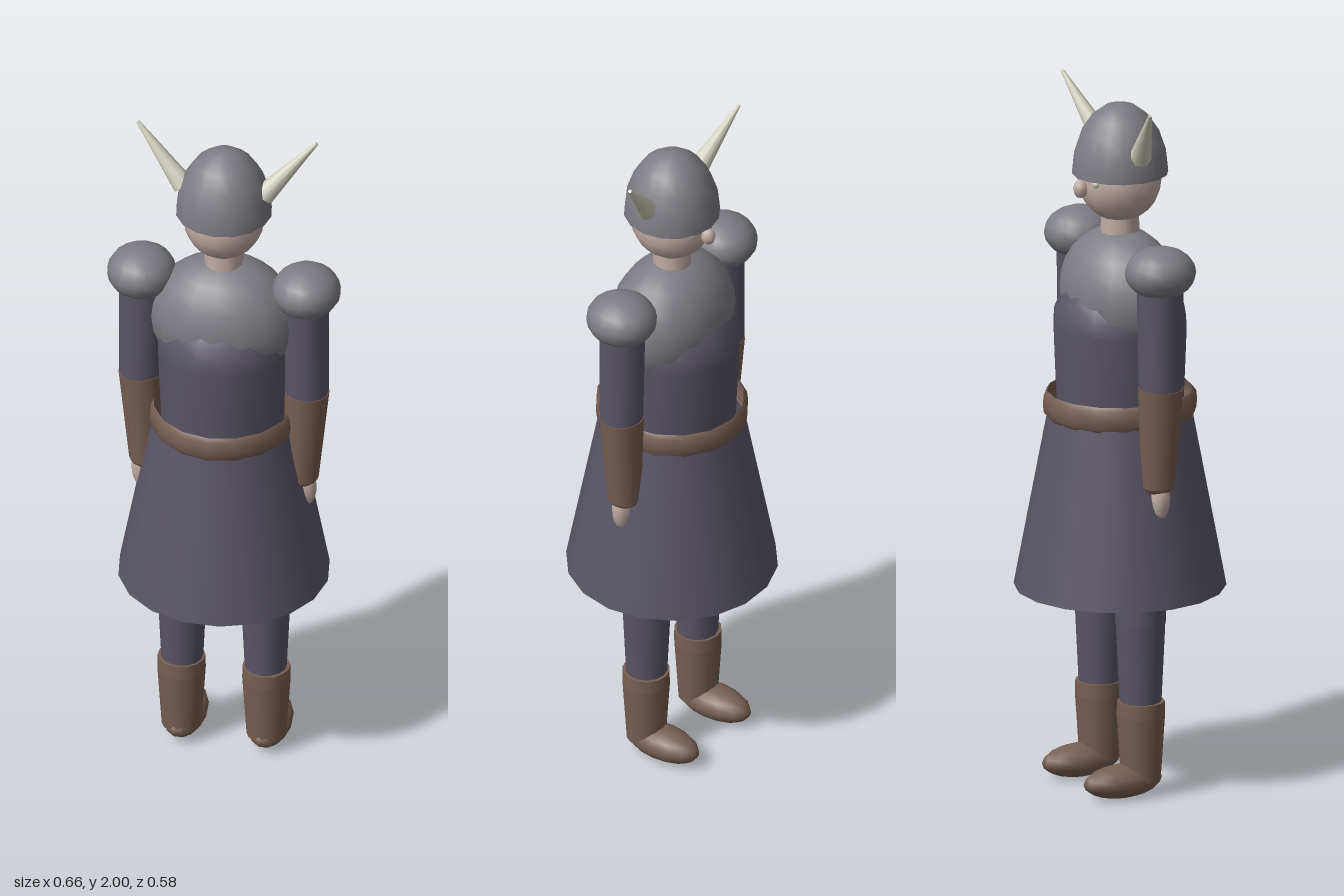
import * as THREE from 'three';

const mat = (name, color, double) => {
  const m = new THREE.MeshStandardMaterial({ color });
  m.name = name;
  if (double) m.side = THREE.DoubleSide;
  return m;
};

export function createModel() {
  const root = new THREE.Group();
  root.name = 'hornedWarrior';

  const cloth = mat('darkCloth', 0x5a5665, true);
  const steel = mat('steel', 0x7d7d84, true);
  const leather = mat('leather', 0x775f53, true);
  const skin = mat('skin', 0xc0aca5);
  const horn = mat('horn', 0xd2cfbd);

  const add = (name, geometry, material) => {
    const m = new THREE.Mesh(geometry, material);
    m.name = name;
    root.add(m);
    return m;
  };

  // Ellipsoid with radii r centred at p
  const blob = (name, material, p, r, w = 16, h = 12) => {
    const g = new THREE.SphereGeometry(1, w, h).scale(...r).translate(...p);
    return add(name, g, material);
  };

  // Tapered round limb from a to b
  const limb = (name, material, a, b, ra, rb, sides = 14) => {
    const va = new THREE.Vector3(...a), vb = new THREE.Vector3(...b);
    const dir = vb.clone().sub(va);
    const m = add(name, new THREE.CylinderGeometry(rb, ra, dir.length(), sides), material);
    m.position.copy(va).add(vb).multiplyScalar(0.5);
    m.quaternion.setFromUnitVectors(new THREE.Vector3(0, 1, 0), dir.normalize());
    return m;
  };

  // Surface of revolution from [radius, y] pairs, a corner on the x axis
  const turned = (name, material, pts, sides) => {
    const g = new THREE.LatheGeometry(pts.map(p => new THREE.Vector2(...p)), sides);
    return add(name, g.rotateY(Math.PI / 2), material);
  };

  // Head, nose and eyes
  blob('head', skin, [0, 1.742, 0], [0.112, 0.114, 0.116]);
  blob('nose', skin, [0, 1.733, -0.124], [0.02, 0.026, 0.022], 8, 6);
  limb('neck', skin, [0, 1.56, 0], [0, 1.66, 0], 0.055, 0.052);

  // Helmet dome
  const dome = new THREE.SphereGeometry(1, 16, 5, 0, Math.PI * 2, 0, Math.PI / 2);
  add('helmet', dome.scale(0.134, 0.2, 0.134).translate(0, 1.765, 0), steel);

  // Torso, breastplate, skirt and belt
  turned('tunic', cloth, [[0.176, 1.07], [0.182, 1.2], [0.187, 1.33], [0.184, 1.37],
    [0.167, 1.41], [0.14, 1.455], [0.08, 1.49], [0, 1.5]], 14);
  blob('breastplate', steel, [0, 1.42, 0], [0.208, 0.188, 0.156], 16, 14);
  turned('skirt', cloth, [[0.294, 0.58], [0.2, 1.08]], 18);
  turned('belt', leather, [[0.203, 1.068], [0.213, 1.08], [0.216, 1.105],
    [0.213, 1.13], [0.204, 1.142]], 16).scale.x = 0.96;

  for (const s of [1, -1]) {
    const side = s > 0 ? 'left' : 'right';

    blob(side + 'Eye', horn, [s * 0.045, 1.755, -0.1], [0.014, 0.012, 0.012], 8, 6);
    limb(side + 'Horn', horn, [s * 0.113, 1.835, 0.002], [s * 0.253, 1.997, -0.043], 0.031, 0.005, 10);

    // Arms
    blob(side + 'Pauldron', steel, [s * 0.233, 1.535, 0], [0.096, 0.073, 0.1], 16, 10);
    limb(side + 'Sleeve', cloth, [s * 0.234, 1.2, 0], [s * 0.23, 1.53, 0], 0.061, 0.065);
    limb(side + 'Glove', leather, [s * 0.22, 0.92, 0], [s * 0.234, 1.205, 0], 0.047, 0.063);
    blob(side + 'GloveCuff', leather, [s * 0.22, 0.92, 0], [0.046, 0.026, 0.046], 14, 8);
    blob(side + 'Hand', skin, [s * 0.229, 0.885, 0], [0.033, 0.064, 0.028], 12, 10);

    // Legs
    limb(side + 'Thigh', cloth, [s * 0.118, 0.5, 0], [s * 0.1, 1.05, 0], 0.07, 0.078);
    limb(side + 'Shin', cloth, [s * 0.118, 0.25, 0], [s * 0.118, 0.505, 0], 0.057, 0.069);
    limb(side + 'Boot', leather, [s * 0.12, 0.05, 0], [s * 0.12, 0.235, 0], 0.055, 0.067);
    limb(side + 'BootTop', leather, [s * 0.12, 0.235, 0], [s * 0.12, 0.275, 0], 0.067, 0.066);
    blob(side + 'Foot', leather, [s * 0.12, 0.052, -0.057], [0.059, 0.047, 0.119], 14, 10);
  }

  return root;
}
